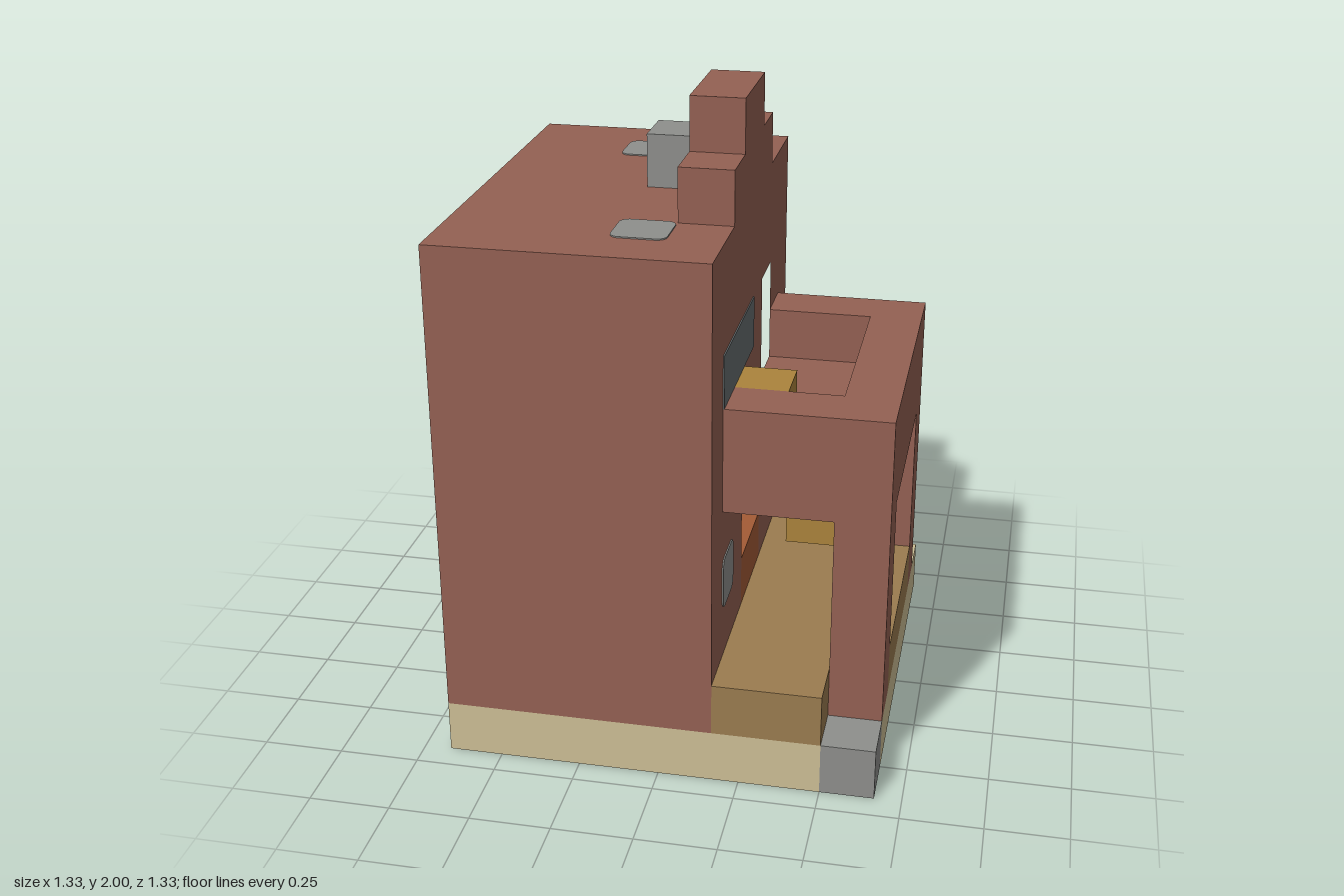
import * as THREE from 'three';

const U = 1 / 6; // one building block

const paint = (name, color) => {
  const m = new THREE.MeshStandardMaterial({ color });
  m.name = name;
  return m;
};

export function createModel() {
  const model = new THREE.Group();
  model.name = 'house';

  const brick = paint('brick', 0x946153);
  const sand = paint('sandstone', 0xcdbf96);
  const wood = paint('wood', 0x9b7c50);
  const stone = paint('stone', 0x8e8f8c);
  const gold = paint('lamp gold', 0xab843c);
  const orange = paint('hearth orange', 0xa45c36);
  const slate = paint('window slate', 0x666e70);

  const add = (name, geometry, material) => {
    const mesh = new THREE.Mesh(geometry, material);
    mesh.name = name;
    model.add(mesh);
    return mesh;
  };

  // Box from opposite corners, in blocks
  const box = (name, mat, x0, x1, y0, y1, z0, z1) => {
    const g = new THREE.BoxGeometry((x1 - x0) * U, (y1 - y0) * U, (z1 - z0) * U);
    g.translate(((x0 + x1) / 2) * U, ((y0 + y1) / 2) * U, ((z0 + z1) / 2) * U);
    return add(name, g, mat);
  };

  // Wall one block thick in the z-y plane, outline given as [z, y] in blocks
  const toPoints = (pts) => pts.map(([z, y]) => new THREE.Vector2(-z * U, y * U));
  const rect = (z0, z1, y0, y1) => [[z0, y0], [z1, y0], [z1, y1], [z0, y1]];
  const wall = (name, x0, outline, holes = []) => {
    const shape = new THREE.Shape(toPoints(outline));
    for (const h of holes) shape.holes.push(new THREE.Path(toPoints(h)));
    const g = new THREE.ExtrudeGeometry(shape, { depth: U, bevelEnabled: false });
    g.rotateY(Math.PI / 2);
    g.translate(x0 * U, 0, 0);
    return add(name, g, brick);
  };

  // Thin stone plate with rounded corners, facing +z before turning
  const plate = (name) => {
    const h = U / 2, r = 0.03;
    const s = new THREE.Shape();
    s.absarc(h - r, h - r, r, 0, Math.PI / 2);
    s.absarc(r - h, h - r, r, Math.PI / 2, Math.PI);
    s.absarc(r - h, r - h, r, Math.PI, Math.PI * 1.5);
    s.absarc(h - r, r - h, r, Math.PI * 1.5, Math.PI * 2);
    return add(name, new THREE.ExtrudeGeometry(s, { depth: 0.004, bevelEnabled: false, curveSegments: 4 }), stone);
  };

  // Foundation with two stone blocks let in
  box('foundation', sand, -3, 3, 0, 1, -4, 4);
  box('foundationLeft', sand, 3, 4, 0, 1, -4, 3);
  box('foundationRightBack', sand, -4, -3, 0, 1, -4, 1);
  box('foundationRightFront', sand, -4, -3, 0, 1, 2, 4);
  box('cornerStone', stone, 3, 4, 0, 1, 3, 4);
  box('sideStone', stone, -4, -3, 0, 1, 1, 2);

  // House body, with the deeper part of the hearth opening
  box('body', brick, -4, -1, 1, 10, -4, 4);
  wall('innerWall', -1, rect(-4, 4, 1, 10), [rect(-1, 0, 3, 4)]);

  // Stepped gable wall with hearth opening and balcony doorway
  wall('gableWall', 0, [
    [-4, 1], [4, 1], [4, 10], [2, 10], [2, 11], [1, 11], [1, 12],
    [-1, 12], [-1, 11], [-2, 11], [-2, 10], [-4, 10],
  ], [rect(-1, 1, 2, 4), rect(-2, -1, 6, 8)]);
  box('hearth', orange, 0, 1, 2, 3, -1, 1);
  box('window', slate, 1, 1.024, 7, 8, 0, 3);

  // Porch deck, front arch, side beams and sunken balcony floor
  box('deck', wood, 1, 3, 1, 2, -4, 4);
  box('deckStep', wood, 3, 4, 1, 2, -2, 2);
  wall('porchArch', 3, [[-3, 1], [-2, 1], [-2, 5], [2, 5], [2, 1], [3, 1], [3, 7], [-3, 7]]);
  for (const z of [-3, 2]) box('porchBeam', brick, 1, 3, 5, 7, z, z + 1);
  box('balconyFloor', brick, 1, 3, 5, 6, -2, 2);

  // Lamps
  box('hangingLamp', gold, 2, 3, 4, 5, 1, 2);
  box('balconyLamp', gold, 1, 2, 6, 7, 1, 2);

  // Roof block and round-cornered plates on roof and porch wall
  box('roofBlock', stone, -1, 0, 10, 11, -1, 0);
  for (const [x, z] of [[-1.5, -2.5], [-0.5, 2.5]]) {
    const p = plate('roofPlate');
    p.rotation.x = -Math.PI / 2;
    p.position.set(x * U, 10 * U, z * U);
  }
  for (const z of [-2.5, 2.5]) {
    const p = plate('wallPlate');
    p.rotation.y = Math.PI / 2;
    p.position.set(U, 3.5 * U, z * U);
  }

  return model;
}
